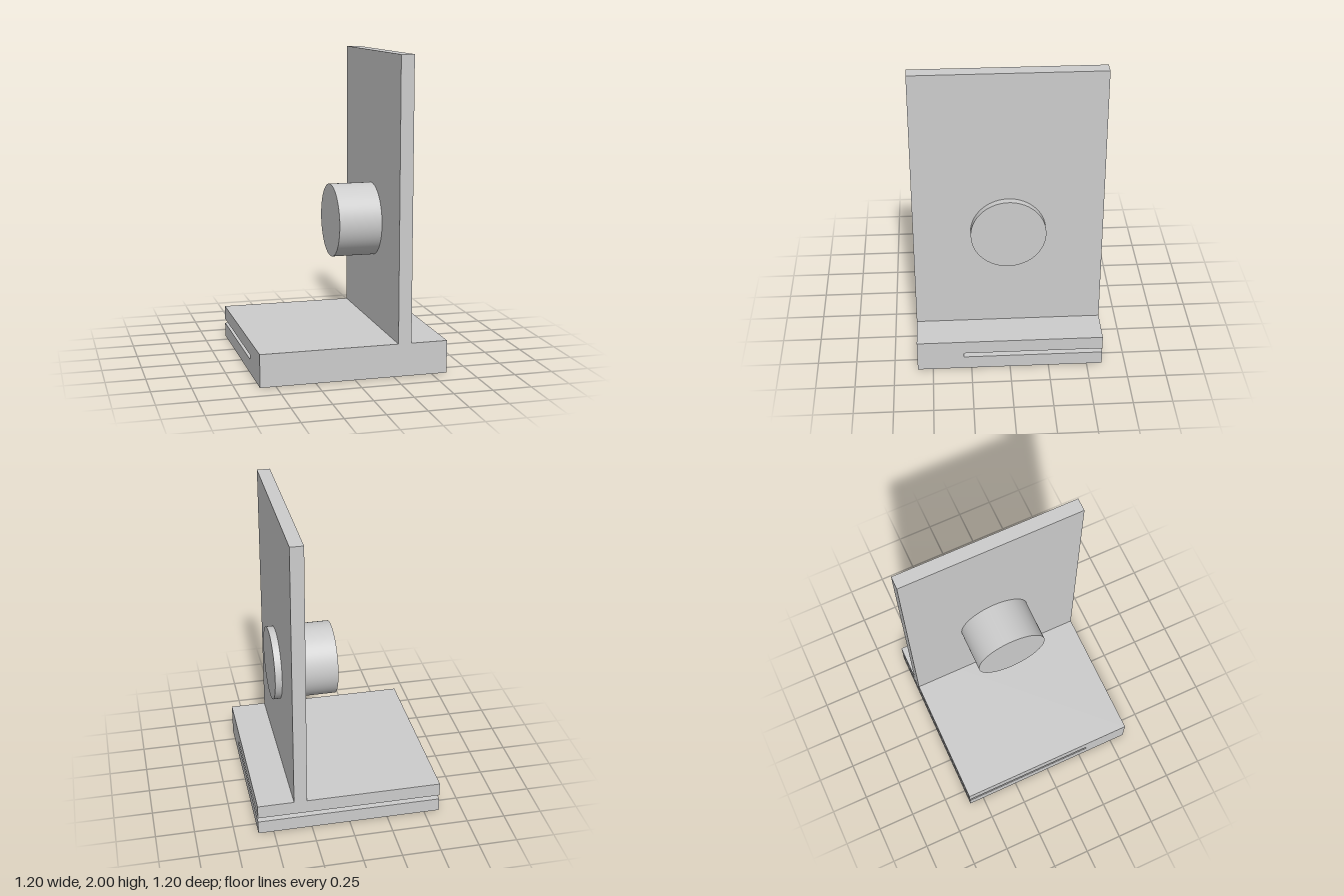
import * as THREE from 'three';

const grey = new THREE.MeshStandardMaterial({ color: 0xcccccc });
grey.name = 'light grey';

function addPart(group, name, geometry, x, y, z) {
  const mesh = new THREE.Mesh(geometry, grey);
  mesh.name = name;
  mesh.position.set(x, y, z);
  group.add(mesh);
}

export function createModel() {
  const model = new THREE.Group();
  model.name = 'slottedStand';

  // Base: side profile (z, y) with a slot open to the back, swept across x
  const profile = new THREE.Shape([
    [0.6, 0], [0.6, 0.21], [-0.6, 0.21], [-0.6, 0.12],
    [0.3, 0.12], [0.3, 0.09], [-0.6, 0.09], [-0.6, 0],
  ].map(([z, y]) => new THREE.Vector2(z, y)));
  const base = new THREE.ExtrudeGeometry(profile, { depth: 1.2, bevelEnabled: false });
  base.rotateY(-Math.PI / 2);
  addPart(model, 'slottedBase', base, 0.6, 0, 0);

  // Upright plate
  addPart(model, 'uprightPlate', new THREE.BoxGeometry(0.085, 1.79, 1.2), 0.3225, 1.105, 0);

  // Round boss passing through the plate
  const boss = new THREE.CylinderGeometry(0.238, 0.238, 0.41, 72);
  boss.rotateZ(Math.PI / 2);
  addPart(model, 'roundBoss', boss, 0.205, 0.9, 0);

  return model;
}
